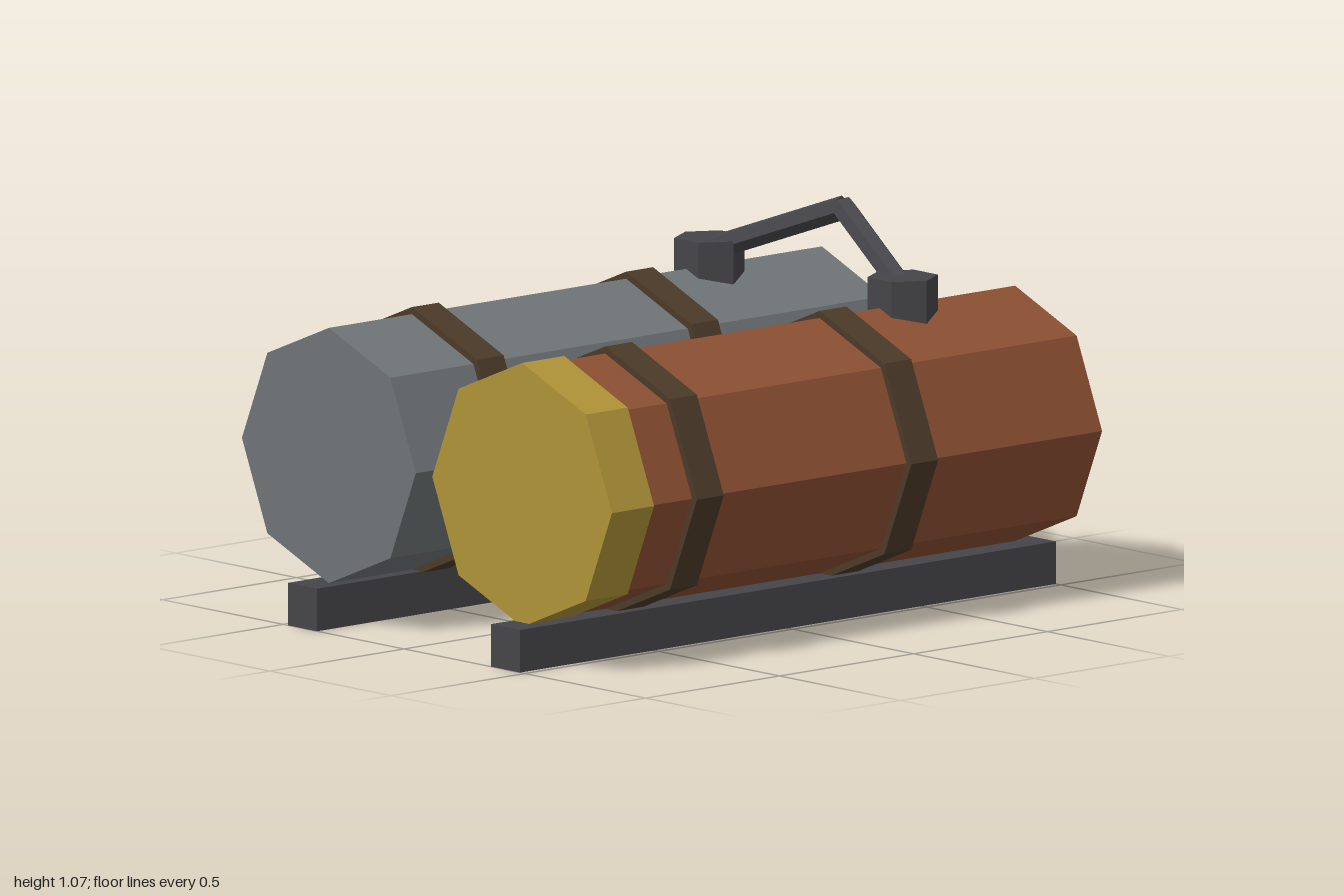
import * as THREE from 'three';

const mat = (name, color) => {
  const m = new THREE.MeshStandardMaterial({ color, flatShading: true });
  m.name = name;
  return m;
};

export function createModel() {
  const group = new THREE.Group();
  group.name = 'twinTanks';
  const copper = mat('copper', 0x8c4f31);
  const steel = mat('steel', 0x6f7476);
  const strap = mat('strap brown', 0x4b3a29);
  const yellow = mat('yellow', 0xb09338);
  const iron = mat('dark iron', 0x454448);

  const add = (name, geometry, material, x, y, z) => {
    const mesh = new THREE.Mesh(geometry, material);
    mesh.name = name;
    mesh.position.set(x, y, z);
    group.add(mesh);
    return mesh;
  };

  // Eight-sided drum lying along x
  const drum = (name, radius, x0, x1, z, material) => {
    const geometry = new THREE.CylinderGeometry(radius, radius, x1 - x0, 8).rotateZ(Math.PI / 2);
    return add(name, geometry, material, (x0 + x1) / 2, 0.48, z);
  };

  // Six-sided rod between two points
  const rod = (name, a, b, radius, material) => {
    const dir = b.clone().sub(a);
    const mid = a.clone().add(b).multiplyScalar(0.5);
    const mesh = add(name, new THREE.CylinderGeometry(radius, radius, dir.length(), 6), material, mid.x, mid.y, mid.z);
    mesh.quaternion.setFromUnitVectors(new THREE.Vector3(0, 1, 0), dir.normalize());
  };

  for (const s of [1, -1]) {
    const side = s > 0 ? 'front' : 'back';
    const z = 0.4 * s;
    // Tank body, stopping just inside the yellow end on the front tank
    drum(side + 'Tank', 0.36, s > 0 ? -0.91 : -0.92, 0.92, z, s > 0 ? copper : steel);
    // Straps
    for (const x of [-0.56, 0.24]) drum(side + 'Strap', 0.38, x - 0.05, x + 0.05, z, strap);
    // Skid rail
    add(side + 'Rail', new THREE.BoxGeometry(2, 0.12, 0.12), iron, 0, 0.06, 0.42 * s);
    // Valve and its half of the connecting pipe
    add(side + 'Valve', new THREE.CylinderGeometry(0.1, 0.1, 0.14, 6), iron, 0.5, 0.85, z);
    rod(side + 'Pipe', new THREE.Vector3(0.5, 0.885, z), new THREE.Vector3(0.64, 1.04, 0), 0.035, iron);
  }

  // Yellow marking on the end of the front tank
  drum('yellowEnd', 0.372, -0.92, -0.763, 0.4, yellow);

  return group;
}
